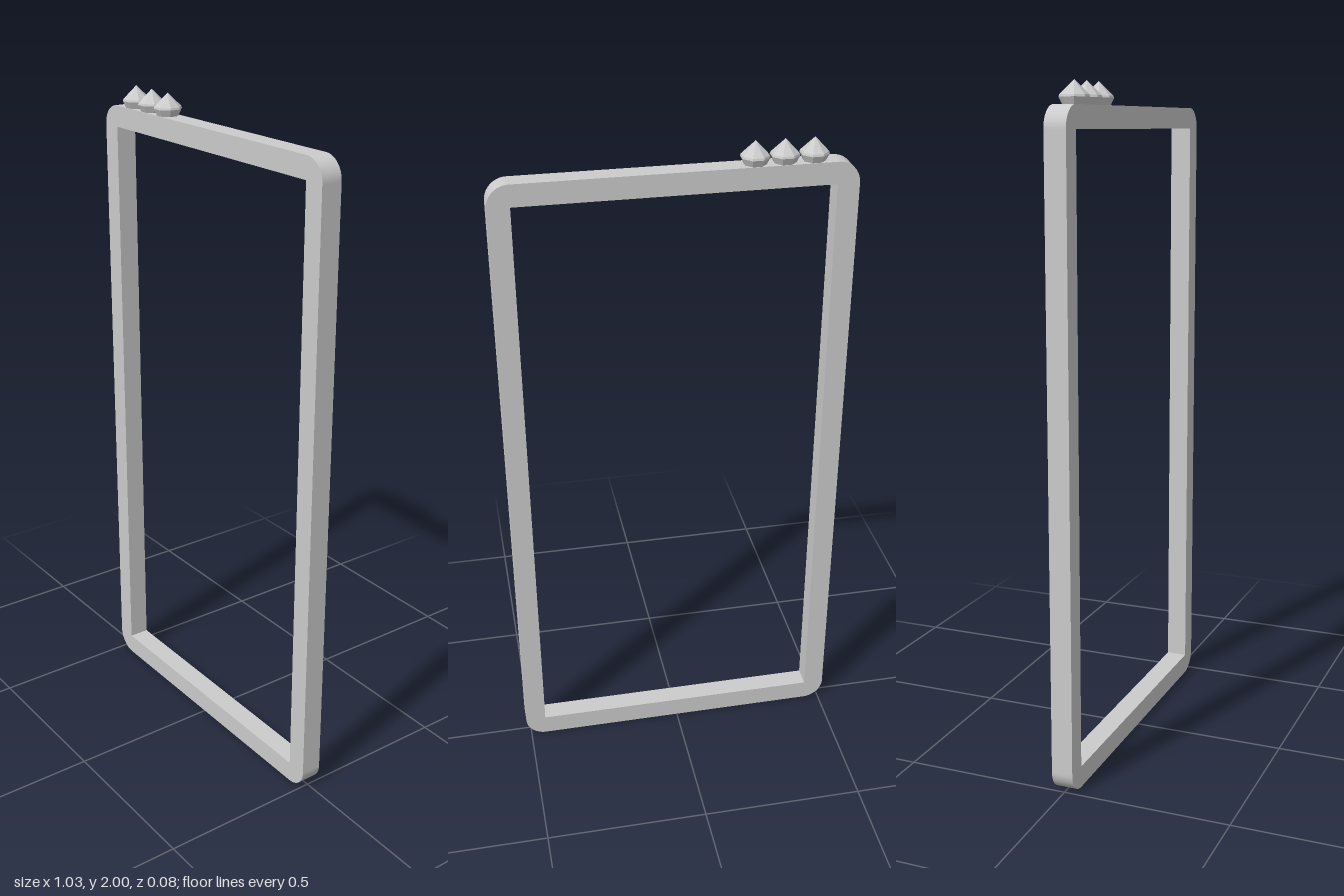
import * as THREE from 'three';

const W = 0.515, H = 1.935, BAR = 0.064, R = 0.064, DEPTH = 0.064;

export function createModel() {
  const group = new THREE.Group();
  const material = new THREE.MeshStandardMaterial({ color: 0xcccccc });

  // Rectangular frame: rounded outer corners, square opening
  const outline = new THREE.Shape();
  outline.absarc(W - R, R, R, -Math.PI / 2, 0);
  outline.absarc(W - R, H - R, R, 0, Math.PI / 2);
  outline.absarc(R - W, H - R, R, Math.PI / 2, Math.PI);
  outline.absarc(R - W, R, R, Math.PI, Math.PI * 1.5);
  const x = W - BAR;
  outline.holes.push(new THREE.Path([
    new THREE.Vector2(-x, BAR), new THREE.Vector2(-x, H - BAR),
    new THREE.Vector2(x, H - BAR), new THREE.Vector2(x, BAR),
  ]));
  const frameGeometry = new THREE.ExtrudeGeometry(outline, {
    depth: DEPTH, bevelEnabled: false, curveSegments: 10,
  });
  frameGeometry.translate(0, 0, -DEPTH / 2);
  const frame = new THREE.Mesh(frameGeometry, material);
  frame.name = 'frame';
  group.add(frame);

  // Three faceted studs on the top edge, towards the right-hand corner
  const profile = [[0, -0.003], [0.031, -0.003], [0.042, 0.02], [0.04, 0.026], [0, 0.065]]
    .map(([r, y]) => new THREE.Vector2(r, y));
  const studGeometry = new THREE.LatheGeometry(profile, 8, Math.PI / 8);
  const studMaterial = new THREE.MeshStandardMaterial({ color: 0xcccccc, flatShading: true });
  for (let i = 0; i < 3; i++) {
    const stud = new THREE.Mesh(studGeometry, studMaterial);
    stud.name = `stud${i + 1}`;
    stud.position.set(-0.389 + i * 0.0835, H, 0);
    group.add(stud);
  }
  return group;
}
